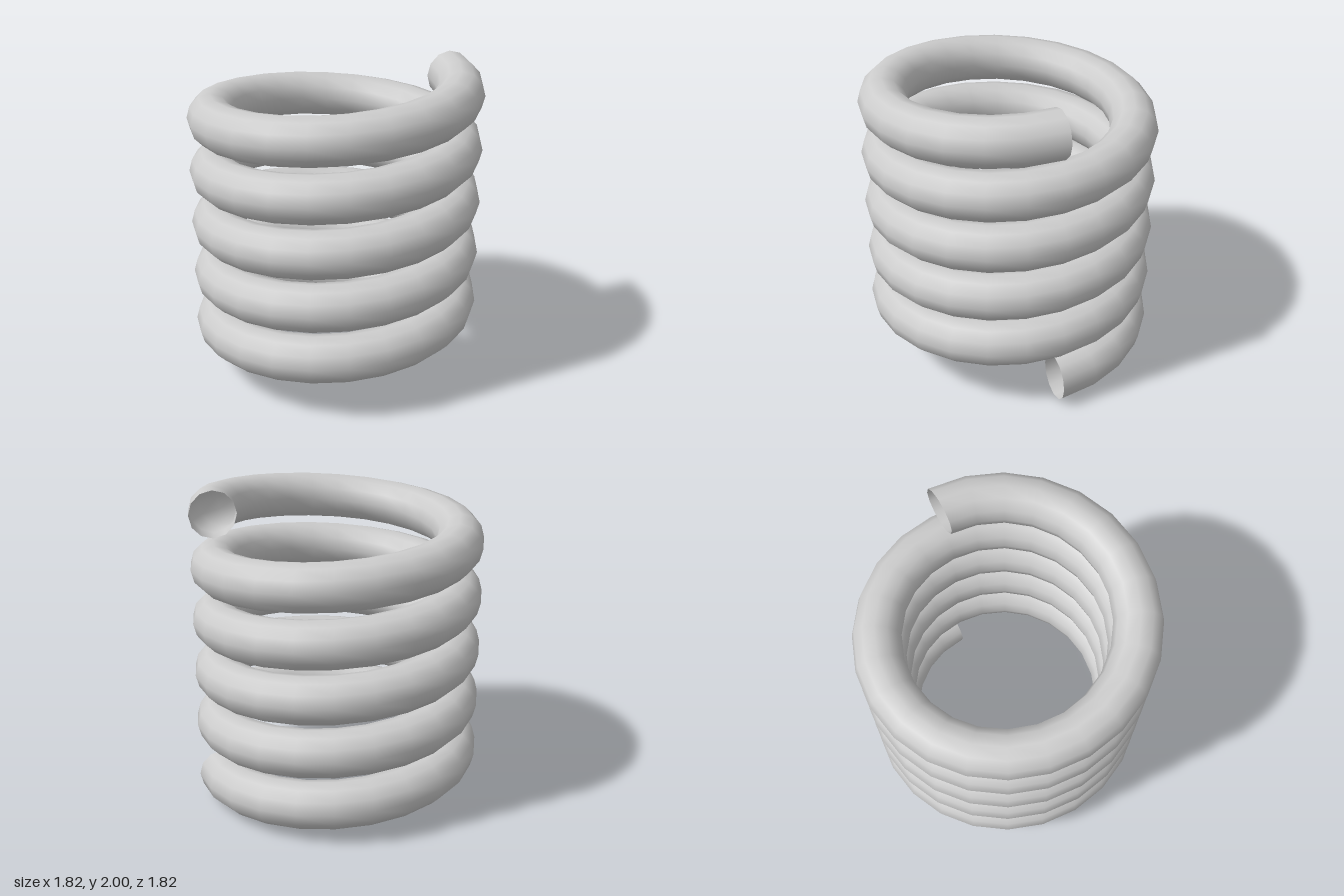
import * as THREE from 'three';

const TURNS = 5, STEPS = 24, SIDES = 12;
const COIL_RADIUS = 0.764, WIRE_RADIUS = 0.147, HEIGHT = 2;

// Helical tube with open ends; each ring lies in a vertical plane through the axis
function coilGeometry() {
  const positions = [], indices = [];
  const rings = TURNS * STEPS;
  const rise = HEIGHT - 2 * WIRE_RADIUS;
  for (let i = 0; i <= rings; i++) {
    const turn = (i / STEPS) * Math.PI * 2;
    const centreY = WIRE_RADIUS + rise * (i / rings);
    for (let j = 0; j < SIDES; j++) {
      const a = (j / SIDES) * Math.PI * 2;
      const radius = COIL_RADIUS + WIRE_RADIUS * Math.cos(a);
      positions.push(
        radius * Math.cos(turn),
        centreY + WIRE_RADIUS * Math.sin(a),
        -radius * Math.sin(turn)
      );
      if (i < rings) {
        const next = (j + 1) % SIDES;
        const p = i * SIDES + j, q = i * SIDES + next;
        indices.push(p, p + SIDES, q, q, p + SIDES, q + SIDES);
      }
    }
  }
  const geometry = new THREE.BufferGeometry();
  geometry.setAttribute('position', new THREE.Float32BufferAttribute(positions, 3));
  geometry.setIndex(indices);
  geometry.computeVertexNormals();
  return geometry;
}

export function createModel() {
  const group = new THREE.Group();
  group.name = 'coilSpring';
  // The tube is hollow, so its inside shows at the ends
  const steel = new THREE.MeshStandardMaterial({ color: 0xcccccc, side: THREE.DoubleSide });
  steel.name = 'light grey';
  const coil = new THREE.Mesh(coilGeometry(), steel);
  coil.name = 'coil';
  group.add(coil);
  return group;
}
